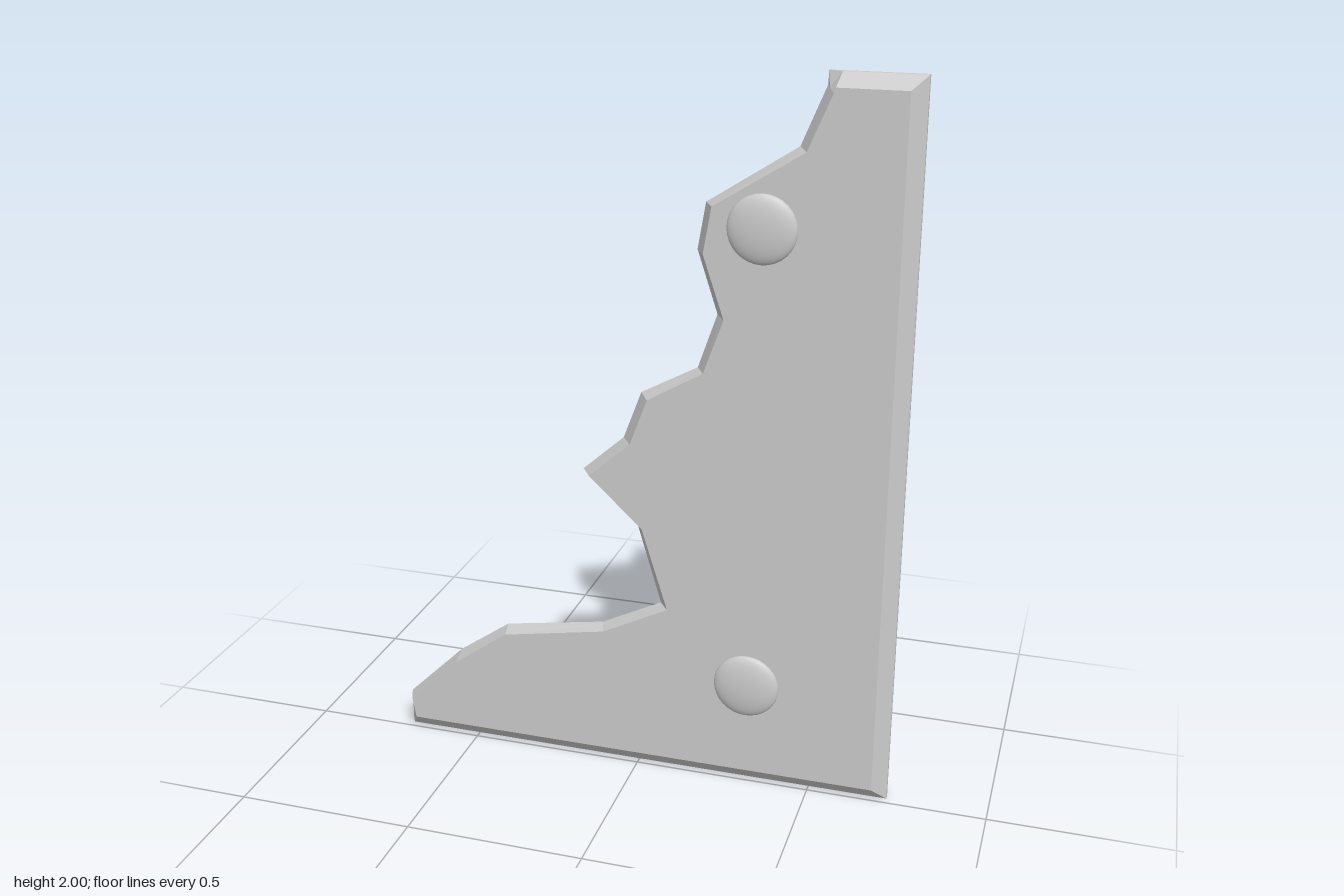
import * as THREE from 'three';

const BACK = -0.037, LIP = -0.022, FRONT = 0.013;

// Jagged edge from bottom to top: back x, back y, front x, front y
const jagged = [
  [-0.722, 0, -0.69, 0.04], [-0.722, 0.1, -0.7, 0.1],
  [-0.554, 0.265, -0.554, 0.245], [-0.405, 0.37, -0.395, 0.36],
  [-0.114, 0.42, -0.098, 0.415], [0.058, 0.506, 0.09, 0.51],
  [-0.013, 0.745, 0.016, 0.745], [-0.167, 0.885, -0.135, 0.885],
  [-0.05, 0.99, -0.018, 0.99], [0, 1.125, 0.03, 1.12],
  [0.156, 1.21, 0.183, 1.21], [0.207, 1.36, 0.236, 1.36],
  [0.151, 1.53, 0.178, 1.53], [0.172, 1.655, 0.199, 1.655],
  [0.411, 1.81, 0.437, 1.805], [0.475, 1.965, 0.498, 1.95],
  [0.475, 2, 0.503, 1.965],
];

function plateGeometry() {
  // Three counter-clockwise outlines: back, lip and front
  const t = (LIP - BACK) / (FRONT - BACK);
  const edge = [...jagged].reverse();
  const v = (x, y) => new THREE.Vector2(x, y);
  const back = edge.map(([x, y]) => v(x, y));
  const front = edge.map(([, , x, y]) => v(x, y));
  const lip = back.map((p, i) => p.clone().lerp(front[i], t));
  lip[0].set(0.512, 2);
  lip[lip.length - 1].y = 0;
  back.push(v(0.722, 0), v(0.722, 2));
  lip.push(v(0.722, 0), v(0.722, 2));
  front.push(v(0.683, 0.04), v(0.683, 1.965));

  const pos = [];
  const put = (p, z) => pos.push(p.x, p.y, z);

  // Walls: a square lip at the back, then the bevel
  const wall = (a, za, b, zb) => a.forEach((p, i) => {
    const j = (i + 1) % a.length;
    put(p, za); put(a[j], za); put(b[j], zb);
    put(p, za); put(b[j], zb); put(b[i], zb);
  });
  wall(back, BACK, lip, LIP);
  wall(lip, LIP, front, FRONT);

  // Flat front and back faces
  for (const [a, b, c] of THREE.ShapeUtils.triangulateShape(front, []))
    [a, b, c].forEach(k => put(front[k], FRONT));
  for (const [a, b, c] of THREE.ShapeUtils.triangulateShape(back, []))
    [c, b, a].forEach(k => put(back[k], BACK));

  const g = new THREE.BufferGeometry();
  g.setAttribute('position', new THREE.Float32BufferAttribute(pos, 3));
  g.computeVertexNormals();
  return g;
}

export function createModel() {
  const group = new THREE.Group();
  const grey = new THREE.MeshStandardMaterial({ color: 0xcccccc });

  // Bevelled broken plate
  const plate = new THREE.Mesh(plateGeometry(), new THREE.MeshStandardMaterial({ color: 0xcccccc, flatShading: true }));
  plate.name = 'brokenPlate';
  group.add(plate);

  // Shallow domed rivets on the front
  const dome = new THREE.SphereGeometry(0.092, 32, 10, 0, Math.PI * 2, 0, Math.PI / 2);
  dome.rotateX(Math.PI / 2).scale(1, 1, 0.024 / 0.092);
  [['upperRivet', 0.331, 1.605], ['lowerRivet', 0.32, 0.31]].forEach(([name, x, y]) => {
    const rivet = new THREE.Mesh(dome, grey);
    rivet.name = name;
    rivet.position.set(x, y, FRONT);
    group.add(rivet);
  });
  return group;
}
